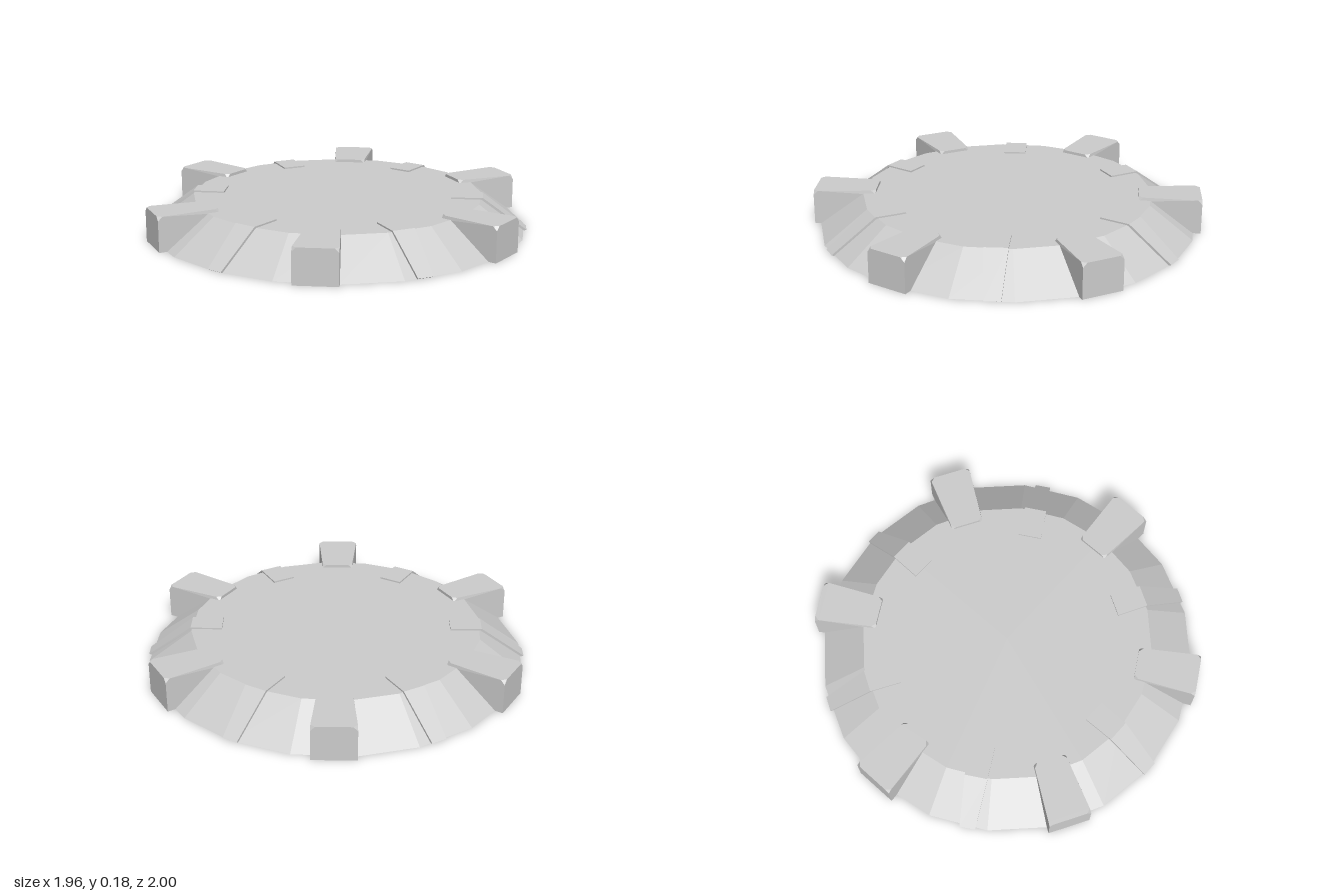
import * as THREE from 'three';
import { ConvexGeometry } from 'three/addons/geometries/ConvexGeometry.js';

const DISC_Y = 0.165;

// Tapered radial block along +x: four clipped top corners, open underneath
function blockGeometry() {
  const top = 0.18, c = 0.022, pts = [];
  for (const [r, half, inward] of [[0.68, 0.086, 1], [1, 0.109, -1]]) {
    for (const s of [-1, 1]) {
      pts.push(
        new THREE.Vector3(r, 0, s * half),
        new THREE.Vector3(r, top - c, s * half),
        new THREE.Vector3(r, top, s * (half - c)),
        new THREE.Vector3(r + inward * c, top, s * (half - 0.0016)),
      );
    }
  }
  const hull = new ConvexGeometry(pts).getAttribute('position').array;
  const kept = [];
  for (let i = 0; i < hull.length; i += 9) {
    const isBottom = Math.max(hull[i + 1], hull[i + 4], hull[i + 7]) < 0.001;
    if (!isBottom) kept.push(...hull.slice(i, i + 9));
  }
  const g = new THREE.BufferGeometry();
  g.setAttribute('position', new THREE.Float32BufferAttribute(kept, 3));
  g.computeVertexNormals();
  return g;
}

// Thin strap lying on the disc and bending down the sloped rim
function strapGeometry() {
  // radius, half width, upper y, lower radius, lower y
  const sections = [
    [0.59, 0.061, 0.173, 0.59, 0.163],
    [0.752, 0.058, 0.173, 0.746, 0.163],
    [0.98, 0.04, 0.006, 0.968, 0],
  ];
  const pos = [], index = [];
  for (const [r, w, y, r2, y2] of sections) {
    pos.push(r, y, -w, r, y, w, r2, y2, w, r2, y2, -w);
  }
  const quad = (a, b, c, d) => index.push(a, b, c, a, c, d);
  for (let s = 0; s < sections.length - 1; s++) {
    for (let k = 0; k < 4; k++) {
      const n = (k + 1) % 4;
      quad(s * 4 + k, s * 4 + n, s * 4 + 4 + n, s * 4 + 4 + k);
    }
  }
  quad(3, 2, 1, 0);
  quad(8, 9, 10, 11);
  const g = new THREE.BufferGeometry();
  g.setAttribute('position', new THREE.Float32BufferAttribute(pos, 3));
  g.setIndex(index);
  const flat = g.toNonIndexed();
  flat.computeVertexNormals();
  return flat;
}

export function createModel() {
  const model = new THREE.Group();
  model.name = 'roundHatch';
  const grey = new THREE.MeshStandardMaterial({ color: 0xcccccc, flatShading: true, side: THREE.DoubleSide });
  grey.name = 'light grey';

  const add = (name, geometry, degrees = 0) => {
    const mesh = new THREE.Mesh(geometry, grey);
    mesh.name = name;
    mesh.rotation.y = THREE.MathUtils.degToRad(degrees);
    model.add(mesh);
  };

  // Hollow base: sloped rim and flat top disc
  const rim = new THREE.CylinderGeometry(0.75, 0.975, DISC_Y, 20, 1, true);
  rim.translate(0, DISC_Y / 2, 0);
  add('slopedRim', rim);
  const disc = new THREE.CircleGeometry(0.75, 20);
  disc.rotateX(-Math.PI / 2);
  disc.translate(0, DISC_Y, 0);
  add('topDisc', disc);

  // Blocks and straps alternate around the rim
  const block = blockGeometry(), strap = strapGeometry();
  for (let i = 0; i < 6; i++) {
    add('rimBlock', block, 30 + i * 60);
    add('rimStrap', strap, i * 60);
  }
  return model;
}
